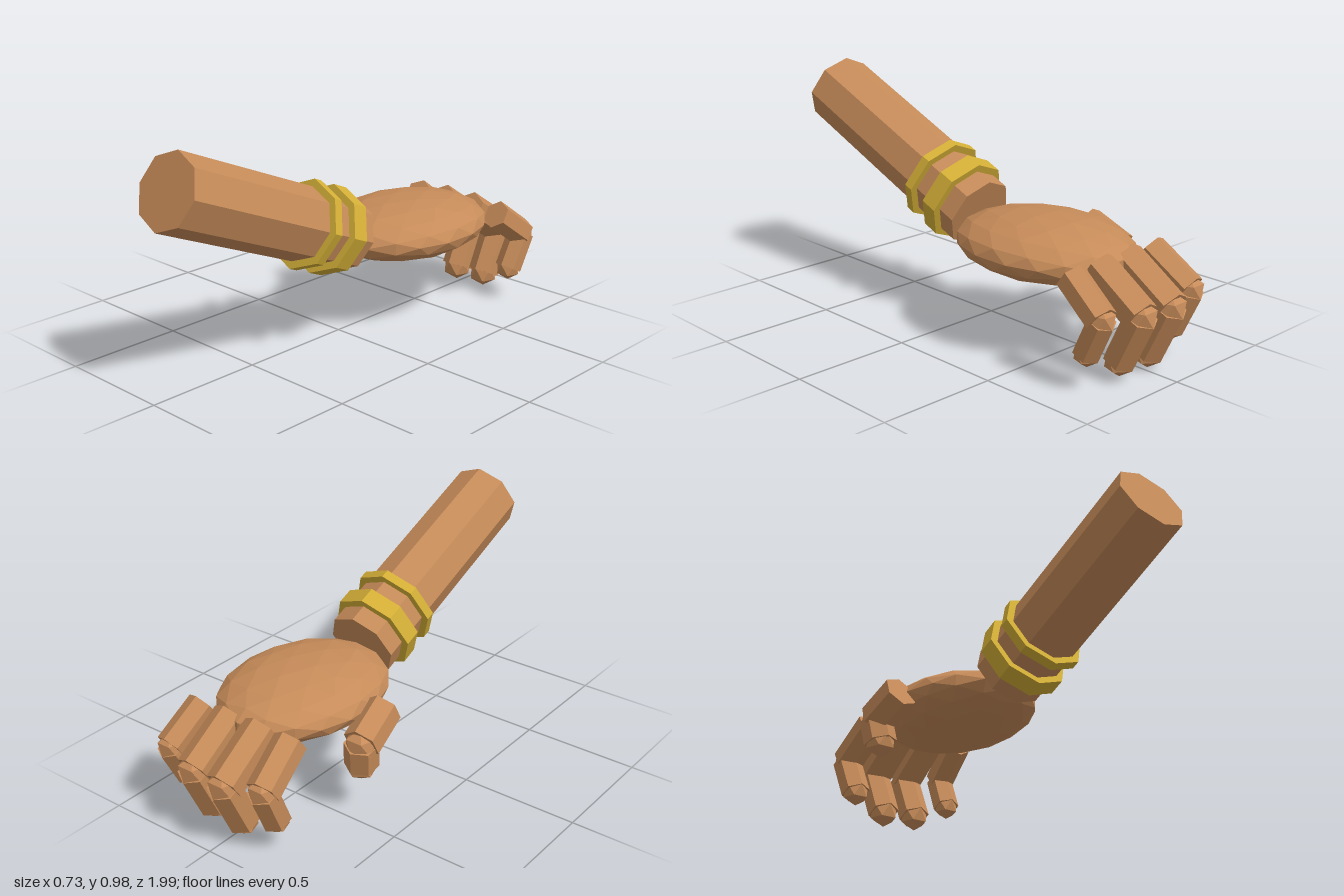
import * as THREE from 'three';

const skin = new THREE.MeshStandardMaterial({ color: 0xc68b59 });
skin.name = 'skin';
const gold = new THREE.MeshStandardMaterial({ color: 0xd4af37 });
gold.name = 'gold';

const UP = new THREE.Vector3(0, 1, 0);
const vec = (p) => new THREE.Vector3(...p);

function part(name, geometry, material, parent) {
  // split the faces so that every facet has its own flat normal
  const flat = geometry.index ? geometry.toNonIndexed() : geometry;
  flat.computeVertexNormals();
  const mesh = new THREE.Mesh(flat, material);
  mesh.name = name;
  parent.add(mesh);
  return mesh;
}

// Prism whose axis runs between two points
function prism(name, from, to, radius, sides, material, parent) {
  const a = vec(from), b = vec(to);
  if (a.y > b.y) { const t = a.clone(); a.copy(b); b.copy(t); }
  const axis = b.clone().sub(a);
  const mesh = part(name, new THREE.CylinderGeometry(radius, radius, axis.length(), sides), material, parent);
  mesh.position.copy(a).add(b).multiplyScalar(0.5);
  mesh.quaternion.setFromUnitVectors(UP, axis.normalize());
  return mesh;
}

// Faceted ball with one corner pointing straight down
function ball(name, at, radius, parent) {
  const geometry = new THREE.IcosahedronGeometry(radius, 0).rotateX(-1.0172);
  part(name, geometry, skin, parent).position.set(...at);
}

// Finger bent at one joint
function finger(name, base, joint, tip, r1, r2, parent) {
  const group = new THREE.Group();
  group.name = name;
  prism('innerSegment', base, joint, r1, 6, skin, group);
  ball('knuckle', joint, r2 * 0.98, group);
  prism('outerSegment', joint, tip, r2, 6, skin, group);
  ball('fingertip', tip, r2 * 0.95, group);
  parent.add(group);
}

export function createModel() {
  const model = new THREE.Group();
  model.name = 'arm';

  // Forearm rising towards the front
  const wrist = [0.055, 0.4525, 0.0125], elbow = [0.055, 0.8425, 0.94];
  prism('forearm', wrist, elbow, 0.155, 8, skin, model);

  // Bracelets: distance along the forearm, width
  const dir = vec(elbow).sub(vec(wrist)).normalize();
  for (const [d, width] of [[0.118, 0.075], [0.254, 0.04]]) {
    const end = (s) => vec(wrist).addScaledVector(dir, d + s * width / 2).toArray();
    prism('bracelet', end(-1), end(1), 0.187, 8, gold, model);
  }

  // Flattened palm
  const palm = part('palm', new THREE.IcosahedronGeometry(1, 2).scale(0.311, 0.124, 0.403), skin, model);
  palm.position.set(0.055, 0.4125, -0.365);

  // Four fingers and the thumb: base, joint, tip, segment radii
  const fingers = [
    ['indexFinger', [-0.172, 0.42, -0.712], [-0.19, 0.295, -0.895], [-0.18, 0.13, -0.82], 0.068, 0.063],
    ['middleFinger', [-0.026, 0.42, -0.71], [-0.028, 0.275, -0.932], [-0.025, 0.07, -0.835], 0.076, 0.069],
    ['ringFinger', [0.13, 0.42, -0.71], [0.132, 0.28, -0.925], [0.133, 0.08, -0.83], 0.074, 0.068],
    ['littleFinger', [0.28, 0.42, -0.712], [0.298, 0.3, -0.88], [0.29, 0.148, -0.805], 0.064, 0.058],
    ['thumb', [-0.283, 0.402, -0.283], [-0.302, 0.325, -0.45], [-0.288, 0.218, -0.43], 0.077, 0.07],
  ];
  for (const f of fingers) finger(...f, model);

  return model;
}
